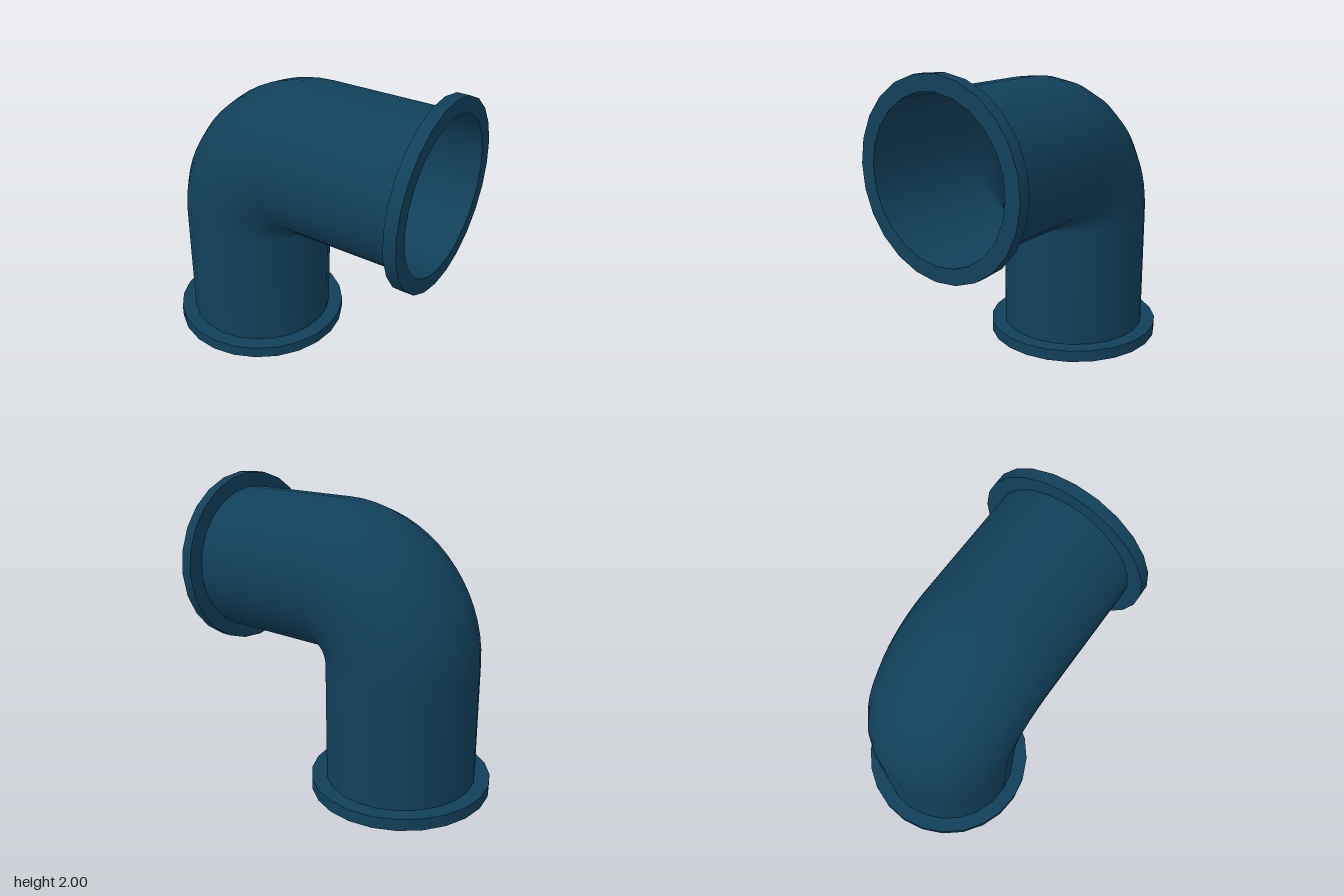
import * as THREE from 'three';
import { toCreasedNormals } from 'three/addons/utils/BufferGeometryUtils.js';

const SIDES = 24;
const PIPE_R = 0.505, FLANGE_R = 0.605, FLANGE_H = 0.08;
const AXIS_X = -0.395, AXIS_Y = 1.395; // centre lines of the two legs
const BEND_R = 0.505, BEND_STEPS = 16;
const TWIST = THREE.MathUtils.degToRad(2.5);

// Thin pipe wall: straight leg, quarter bend, straight leg
function pipeGeometry() {
  const cx = AXIS_X + BEND_R, cy = AXIS_Y - BEND_R;
  const rings = [{ x: AXIS_X, y: 0, t: 0 }];
  for (let i = 0; i <= BEND_STEPS; i++) {
    const t = (i / BEND_STEPS) * Math.PI / 2;
    rings.push({ x: cx - BEND_R * Math.cos(t), y: cy + BEND_R * Math.sin(t), t });
  }
  rings.push({ x: 1, y: AXIS_Y, t: Math.PI / 2 });

  const position = [], normal = [], index = [];
  rings.forEach(({ x, y, t }, i) => {
    const offset = TWIST * (1 - 4 * t / Math.PI);
    for (let j = 0; j <= SIDES; j++) {
      const a = (j / SIDES) * Math.PI * 2 + offset;
      const n = [-Math.cos(t) * Math.cos(a), Math.sin(t) * Math.cos(a), Math.sin(a)];
      normal.push(...n);
      position.push(x + PIPE_R * n[0], y + PIPE_R * n[1], PIPE_R * n[2]);
      if (i < rings.length - 1 && j < SIDES) {
        const p = i * (SIDES + 1) + j, q = p + SIDES + 1;
        index.push(p, p + 1, q, p + 1, q + 1, q);
      }
    }
  });
  const geometry = new THREE.BufferGeometry();
  geometry.setAttribute('position', new THREE.Float32BufferAttribute(position, 3));
  geometry.setAttribute('normal', new THREE.Float32BufferAttribute(normal, 3));
  geometry.setIndex(index);
  return geometry;
}

// Flat collar; the pipe wall closes its inside
function flangeGeometry(offset) {
  const profile = [[PIPE_R, 0], [FLANGE_R, 0], [FLANGE_R, FLANGE_H], [PIPE_R, FLANGE_H]]
    .map(([r, y]) => new THREE.Vector2(r, y));
  return toCreasedNormals(new THREE.LatheGeometry(profile, SIDES, offset), Math.PI / 6);
}

export function createModel() {
  const group = new THREE.Group();
  group.name = 'pipeElbow';
  const material = new THREE.MeshStandardMaterial({ color: 0x11405a, side: THREE.DoubleSide });
  const add = (name, geometry) => {
    const mesh = new THREE.Mesh(geometry, material);
    mesh.name = name;
    group.add(mesh);
    return mesh;
  };

  add('pipe', pipeGeometry());

  // Collars at the two open ends
  add('bottomFlange', flangeGeometry(TWIST)).position.set(AXIS_X, 0, 0);
  const side = add('sideFlange', flangeGeometry(-TWIST));
  side.position.set(1 - FLANGE_H, AXIS_Y, 0);
  side.rotation.z = -Math.PI / 2;

  return group;
}
